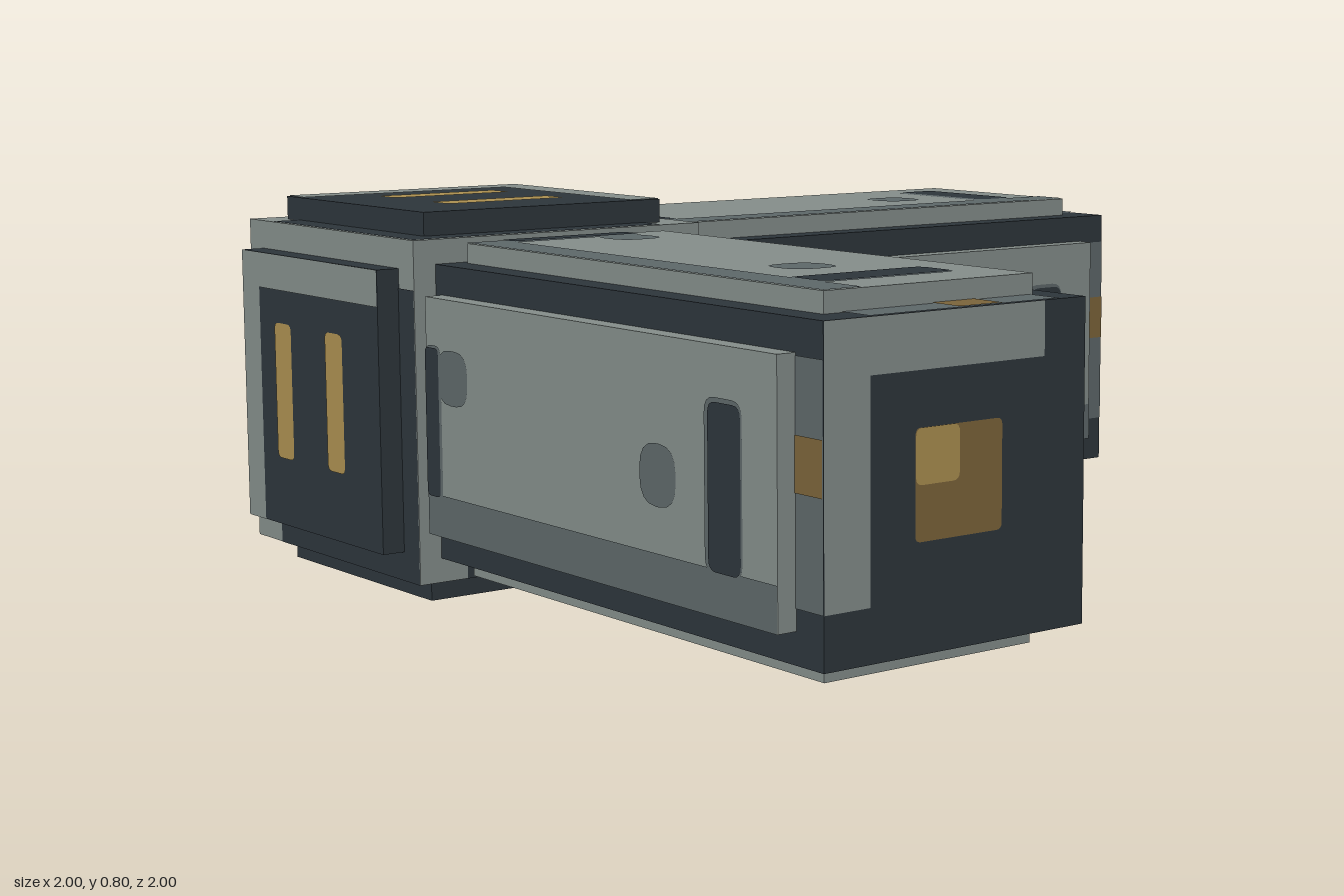
import * as THREE from 'three';

const material = (name, color) => {
  const m = new THREE.MeshStandardMaterial({ color });
  m.name = name;
  return m;
};

export function createModel() {
  const light = material('light grey', 0x848d8a);
  const mid = material('mid grey', 0x5d6769);
  const dark = material('dark slate', 0x2d353b);
  const gold = material('gold', 0xab8f50);
  const bronze = material('bronze', 0x7b643a);
  const V = (x, y, z) => new THREE.Vector3(x, y, z);

  const box = (parent, name, mat, size, pos) => {
    const mesh = new THREE.Mesh(new THREE.BoxGeometry(...size), mat);
    mesh.name = name;
    mesh.position.set(...pos);
    parent.add(mesh);
    return mesh;
  };

  // Flat painted rectangle with rounded corners, lying on a face frame
  const decal = (face, name, mat, x0, x1, y0, y1, r = 0, layer = 1) => {
    const s = new THREE.Shape();
    s.moveTo(x0 + r, y0);
    s.lineTo(x1 - r, y0);
    s.quadraticCurveTo(x1, y0, x1, y0 + r);
    s.lineTo(x1, y1 - r);
    s.quadraticCurveTo(x1, y1, x1 - r, y1);
    s.lineTo(x0 + r, y1);
    s.quadraticCurveTo(x0, y1, x0, y1 - r);
    s.lineTo(x0, y0 + r);
    s.quadraticCurveTo(x0, y0, x0 + r, y0);
    const mesh = new THREE.Mesh(new THREE.ShapeGeometry(s, 4), mat);
    mesh.name = name;
    mesh.position.z = layer * 0.0015;
    face.add(mesh);
  };

  // Face frame: local x is right, y is up, z points out of the surface
  const frame = (parent, name, right, up, centre, distance) => {
    const normal = right.clone().cross(up);
    const g = new THREE.Group();
    g.name = name;
    g.quaternion.setFromRotationMatrix(new THREE.Matrix4().makeBasis(right, up, normal));
    g.position.copy(centre).addScaledVector(normal, distance);
    parent.add(g);
    return g;
  };

  const model = new THREE.Group();
  model.name = 'cornerConnector';
  const core = new THREE.Group();
  core.position.set(-0.6, 0.4, 0.6);
  model.add(core);

  // Corner hub with raised plates on its four free sides
  box(core, 'hub', light, [0.7, 0.7, 0.7], [0, 0, 0]);
  const hubSides = [
    ['hubFront', V(1, 0, 0), V(0, 1, 0), true],
    ['hubTop', V(1, 0, 0), V(0, 0, -1), true],
    ['hubRight', V(0, 0, 1), V(0, 1, 0), true],
    ['hubBottom', V(-1, 0, 0), V(0, 0, -1), true],
    ['hubLeft', V(0, 0, -1), V(0, 1, 0), false],
    ['hubBack', V(-1, 0, 0), V(0, 1, 0), false],
  ];
  for (const [name, right, up, hasPlate] of hubSides) {
    const side = frame(core, name, right, up, V(0, 0, 0), 0.35);
    decal(side, 'hubShade', dark, -0.24, 0.35, -0.35, 0.25);
    if (!hasPlate) continue;
    box(side, 'plate', dark, [0.58, 0.58, 0.06], [0, 0, 0.02]);
    const top = new THREE.Group();
    top.name = 'plateFace';
    top.position.z = 0.05;
    side.add(top);
    decal(top, 'plateSideTrim', light, -0.29, -0.215, -0.29, 0.29);
    decal(top, 'plateTopTrim', light, -0.215, 0.29, 0.215, 0.29);
    for (const x of [-0.15, 0.07]) decal(top, 'lightBar', gold, x, x + 0.072, -0.145, 0.145, 0.015);
  }

  // One arm along +x, measured from the hub centre
  const buildArm = (name) => {
    const arm = new THREE.Group();
    arm.name = name;
    box(arm, 'armBody', dark, [1.25, 0.6, 0.6], [0.975, 0, 0]);
    box(arm, 'sidePanels', light, [1.15, 0.48, 0.68], [0.95, 0, 0]);
    box(arm, 'upperLowerPanels', light, [1.15, 0.68, 0.48], [0.95, 0, 0]);

    const sides = [
      ['sideFront', V(1, 0, 0), V(0, 1, 0)],
      ['sideTop', V(1, 0, 0), V(0, 0, -1)],
      ['sideBack', V(-1, 0, 0), V(0, 1, 0)],
      ['sideBottom', V(-1, 0, 0), V(0, 0, -1)],
    ];
    for (const [sideName, right, up] of sides) {
      // Bands on the body that show past both panel ends
      const body = frame(arm, sideName + 'Body', right, up, V(0.975, 0, 0), 0.3);
      decal(body, 'bodyBand', mid, -0.625, 0.625, -0.2, 0.235);
      decal(body, 'bodyMarker', bronze, -0.625, 0.625, 0, 0.1, 0, 2);
      // Markings on the raised panel
      const panel = frame(arm, sideName + 'Panel', right, up, V(0.95, 0, 0), 0.34);
      decal(panel, 'lowerStripe', mid, -0.575, 0.575, -0.24, -0.155);
      decal(panel, 'slotRim', mid, 0.368, 0.478, -0.165, 0.148, 0.03);
      decal(panel, 'slot', dark, 0.38, 0.475, -0.16, 0.14, 0.022, 2);
      decal(panel, 'innerSlotRim', mid, -0.575, -0.518, -0.165, 0.145, 0.02);
      decal(panel, 'innerSlot', dark, -0.575, -0.525, -0.16, 0.14, 0.012, 2);
      decal(panel, 'roundMark', mid, 0.17, 0.282, -0.07, 0.045, 0.05);
      decal(panel, 'innerMark', mid, -0.53, -0.418, 0.03, 0.14, 0.045);
    }

    // End cap with corner trim and a two-tone square lamp
    const end = frame(arm, 'endCap', V(0, 0, -1), V(0, 1, 0), V(1.6, 0, 0), 0);
    decal(end, 'endSideTrim', light, -0.3, -0.2, -0.2, 0.2);
    decal(end, 'endTopTrim', light, -0.3, 0.2, 0.2, 0.3);
    decal(end, 'endLamp', bronze, -0.1, 0.1, -0.1, 0.1, 0.012);
    decal(end, 'endLampGlint', gold, -0.1, 0, 0, 0.1, 0.015, 2);
    core.add(arm);
    return arm;
  };
  buildArm('sideArm');
  buildArm('rearArm').rotation.y = Math.PI / 2;

  return model;
}
